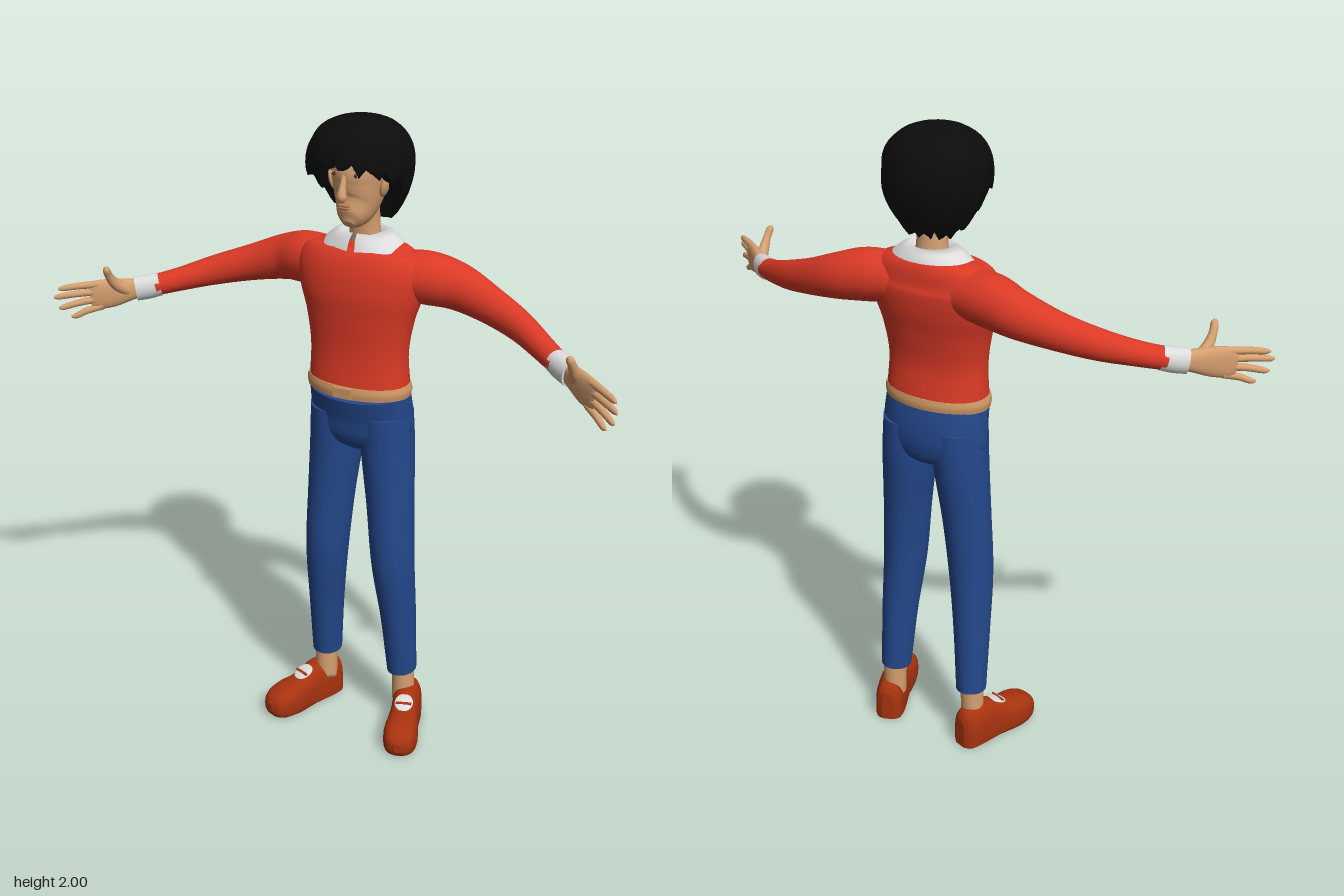
import * as THREE from 'three';

const mat = (name, color, side = THREE.FrontSide) => {
  const m = new THREE.MeshStandardMaterial({ color, side });
  m.name = name;
  return m;
};
const M = {
  skin: mat('skin', 0xd6a070),
  hair: mat('black hair', 0x0c0c0c),
  red: mat('red sweater', 0xdb3a26),
  blue: mat('blue trousers', 0x24488c),
  shoe: mat('rust shoes', 0xa8330f),
  white: mat('white cloth', 0xdcdcdc, THREE.DoubleSide),
  belt: mat('tan belt', 0xd09864),
  brown: mat('brown features', 0x5a3a26),
  lip: mat('lips', 0xb57a55),
};
const V = (x, y, z) => new THREE.Vector3(x, y, z);

// Surface through rows of points; outward side is (along row) x (next row)
function skinRows(rows, closed = true) {
  const n = rows[0].length, pos = [], idx = [];
  rows.forEach(r => r.forEach(p => pos.push(p.x, p.y, p.z)));
  for (let i = 0; i < rows.length - 1; i++) {
    for (let j = 0; j < (closed ? n : n - 1); j++) {
      const a = i * n + j, b = i * n + (j + 1) % n;
      idx.push(a, b, a + n, b, b + n, a + n);
    }
  }
  const g = new THREE.BufferGeometry();
  g.setAttribute('position', new THREE.Float32BufferAttribute(pos, 3));
  g.setIndex(idx);
  g.computeVertexNormals();
  return g;
}

// Smooth capped loft through stations [x, y, z, half size along ref, half size across]
function loft(stations, { ref = V(1, 0, 0), seg = 28, steps = 6, power = 1, floor = -1 } = {}) {
  const path = new THREE.CatmullRomCurve3(stations.map(s => V(s[0], s[1], s[2])), false, 'catmullrom');
  const size = new THREE.CatmullRomCurve3(stations.map(s => V(s[3], s[4], 0)), false, 'catmullrom');
  const count = (stations.length - 1) * steps, rows = [];
  const bulge = c => Math.sign(c) * Math.abs(c) ** power;
  for (let i = 0; i <= count; i++) {
    const t = i / count, c = path.getPoint(t), s = size.getPoint(t), tan = path.getTangent(t);
    const u = ref.clone().addScaledVector(tan, -ref.dot(tan)).normalize();
    const w = tan.clone().cross(u);
    rows.push(Array.from({ length: seg }, (_, j) => {
      const a = j / seg * Math.PI * 2;
      const p = c.clone().addScaledVector(u, s.x * bulge(Math.cos(a))).addScaledVector(w, s.y * bulge(Math.sin(a)));
      p.y = Math.max(p.y, floor);
      return p;
    }));
  }
  const cap = row => {
    const mid = row.reduce((m, p) => m.add(p), V(0, 0, 0)).divideScalar(seg);
    return row.map(() => mid);
  };
  const first = rows[0], last = rows[count];
  return skinRows([cap(first), first, ...rows, last, cap(last)]);
}

const UP = V(0, 1, 0);

// Ragged bowl of hair, its lower edge varying around the head
function hairGeometry() {
  const edge = [[0, 1.885], [45, 1.86], [72, 1.83], [90, 1.78], [106, 1.725], [130, 1.70], [181, 1.71]];
  const edgeAt = deg => {
    const k = edge.findIndex((e, i) => deg < edge[i + 1][0]);
    return THREE.MathUtils.mapLinear(deg, edge[k][0], edge[k + 1][0], edge[k][1], edge[k + 1][1]);
  };
  const point = (v, a, inner, lift) => {
    const deg = Math.abs(a) * 180 / Math.PI;
    const tip = edgeAt(deg) + 0.012 * Math.sin(a * 19 + 1) + 0.006 * Math.sin(a * 31);
    const y = 1.995 - (1.995 - tip) * v ** 1.8;
    const d = y - 1.86;
    let r = d > 0 ? (1 - Math.min(1, d / 0.135) ** 2.4) ** (1 / 2.4) : 1 - 0.4 * (d / 0.16) ** 2;
    r *= 0.155 * (1 + 0.025 * v * Math.sin(a * 11 + y * 25)) * inner;
    return V(-r * Math.sin(a), y + lift, -0.073 + r * Math.cos(a));
  };
  const ring = (v, inner = 1, lift = 0) =>
    Array.from({ length: 96 }, (_, j) => point(v, (j / 96 * 2 - 1) * Math.PI, inner, lift));
  const rows = Array.from({ length: 21 }, (_, i) => ring(i / 20));
  rows.push(ring(1, 0.72, 0.005), ring(1, 0.65, 0.06));
  return skinRows(rows);
}

// Folded collar, open at the front with two drooping points
function collarGeometry() {
  const row = (rx, rz, y, droop) => Array.from({ length: 49 }, (_, j) => {
    const a = -(0.1 + j / 48 * (Math.PI * 2 - 0.2));
    const front = Math.max(0, Math.cos(a));
    const point = Math.exp(-(((Math.abs(Math.abs(a + Math.PI) - Math.PI) - 0.75) / 0.35) ** 2));
    const k = 1 + droop * point * 4;
    return V(rx * k * Math.sin(a), y - droop * (front * 0.55 + point * 0.6), -0.098 + rz * k * Math.cos(a));
  });
  return skinRows([row(0.05, 0.05, 1.635, 0), row(0.065, 0.06, 1.662, 0.005),
    row(0.092, 0.077, 1.652, 0.015), row(0.122, 0.088, 1.628, 0.03)], false);
}

export function createModel() {
  const root = new THREE.Group();
  root.name = 'standingFigure';
  const add = (name, geo, material, parent = root) => {
    const m = new THREE.Mesh(geo, material);
    m.name = name;
    parent.add(m);
    return m;
  };
  const ball = (name, material, x, y, z, sx, sy, sz, parent) => {
    const m = add(name, new THREE.SphereGeometry(1, 20, 14), material, parent);
    m.position.set(x, y, z);
    m.scale.set(sx, sy, sz);
    return m;
  };

  // Sweater body, belt and hips
  add('sweaterBody', loft([
    [0, 1.195, -0.07, 0.161, 0.102], [0, 1.3, -0.068, 0.157, 0.09], [0, 1.4, -0.072, 0.172, 0.097],
    [0, 1.48, -0.078, 0.196, 0.106], [0, 1.555, -0.088, 0.205, 0.102], [0, 1.6, -0.1, 0.175, 0.08],
    [0, 1.626, -0.1, 0.1, 0.055]], { seg: 40, power: 0.92 }), M.red);
  add('belt', loft([[0, 1.168, -0.069, 0.167, 0.107], [0, 1.187, -0.069, 0.17, 0.109],
    [0, 1.205, -0.069, 0.166, 0.106]], { seg: 40 }), M.belt);
  const buckle = add('beltBuckle', new THREE.BoxGeometry(0.06, 0.032, 0.009), M.belt);
  buckle.position.set(0, 1.187, 0.04);
  add('hips', loft([
    [0, 0.975, -0.085, 0.05, 0.05], [0, 1.0, -0.086, 0.12, 0.082], [0, 1.04, -0.087, 0.166, 0.097],
    [0, 1.1, -0.085, 0.168, 0.102], [0, 1.175, -0.07, 0.164, 0.104]], { seg: 40 }), M.blue);

  // Neck and head
  add('collar', collarGeometry(), M.white);
  add('neck', loft([[0, 1.6, -0.105, 0.052, 0.045], [0, 1.68, -0.098, 0.046, 0.042],
    [0, 1.78, -0.085, 0.05, 0.05]]), M.skin);
  const head = new THREE.Group();
  head.name = 'head';
  root.add(head);
  add('face', loft([
    [0, 1.696, 0.002, 0.018, 0.016], [0, 1.712, -0.015, 0.042, 0.047], [0, 1.75, -0.048, 0.062, 0.079],
    [0, 1.8, -0.068, 0.074, 0.098], [0, 1.86, -0.075, 0.081, 0.105], [0, 1.92, -0.075, 0.07, 0.085],
    [0, 1.96, -0.075, 0.03, 0.03]]), M.skin, head);
  add('nose', loft([[0, 1.848, 0.022, 0.007, 0.008], [0, 1.81, 0.035, 0.01, 0.012],
    [0, 1.785, 0.04, 0.015, 0.016], [0, 1.776, 0.032, 0.008, 0.008]], { seg: 14 }), M.skin, head);
  ball('upperLip', M.lip, 0, 1.758, 0.029, 0.023, 0.004, 0.006, head);
  ball('lowerLip', M.lip, 0, 1.75, 0.028, 0.019, 0.005, 0.006, head);
  add('hair', hairGeometry(), M.hair, head);

  for (const s of [1, -1]) {
    const side = s > 0 ? 'left' : 'right';
    const part = name => {
      const g = new THREE.Group();
      g.name = side + name;
      root.add(g);
      return g;
    };
    const flip = list => list.map(([x, ...rest]) => [x * s, ...rest]);

    // Eye, brow and ear
    ball(side + 'Eye', M.white, s * 0.035, 1.846, 0.018, 0.014, 0.006, 0.006, head);
    ball(side + 'Iris', M.brown, s * 0.035, 1.846, 0.022, 0.006, 0.006, 0.004, head);
    ball(side + 'Brow', M.brown, s * 0.037, 1.863, 0.019, 0.02, 0.003, 0.005, head).rotation.z = -s * 0.1;
    ball(side + 'Ear', M.skin, s * 0.084, 1.805, -0.062, 0.012, 0.034, 0.02, head).rotation.z = -s * 0.25;

    // Sleeve, cuff and hand
    const arm = part('Arm');
    add('sleeve', loft(flip([
      [0.1, 1.535, -0.1, 0.07, 0.075], [0.2, 1.533, -0.118, 0.079, 0.076], [0.29, 1.516, -0.133, 0.07, 0.064],
      [0.4, 1.485, -0.115, 0.056, 0.05], [0.51, 1.454, -0.076, 0.046, 0.041], [0.6, 1.427, -0.022, 0.037, 0.036],
      [0.67, 1.408, 0.026, 0.033, 0.033]]), { ref: UP }), M.red, arm);
    add('cuff', loft(flip([[0.658, 1.411, 0.018, 0.036, 0.033], [0.69, 1.403, 0.04, 0.038, 0.031],
      [0.72, 1.398, 0.061, 0.038, 0.028]]), { ref: UP, steps: 3 }), M.white, arm);
    add('palm', loft(flip([
      [0.7, 1.402, 0.045, 0.026, 0.02], [0.735, 1.397, 0.075, 0.035, 0.02], [0.775, 1.39, 0.108, 0.045, 0.018],
      [0.815, 1.385, 0.138, 0.046, 0.014], [0.83, 1.383, 0.15, 0.036, 0.009]]), { ref: UP, power: 0.85 }), M.skin, arm);
    const tips = [[0.905, 1.41, 0.21], [0.914, 1.385, 0.222], [0.905, 1.35, 0.214], [0.876, 1.32, 0.192]];
    tips.forEach(([x, y, z], i) => {
      const ky = 1.42 - i * 0.0235, kx = i === 3 ? 0.8 : 0.81, kz = i === 3 ? 0.128 : 0.135;
      add('finger' + (i + 1), loft(flip([
        [kx, ky, kz, 0.012, 0.012], [(kx + x) / 2, (ky + y) / 2 + 0.002, (kz + z) / 2, 0.0105, 0.0105],
        [x - 0.012, y + 0.002, z - 0.011, 0.009, 0.008], [x, y, z, 0.003, 0.003]]),
        { ref: UP, seg: 12, steps: 3 }), M.skin, arm);
    });
    add('thumb', loft(flip([
      [0.735, 1.395, 0.077, 0.018, 0.02], [0.752, 1.425, 0.118, 0.016, 0.018], [0.756, 1.458, 0.145, 0.012, 0.013],
      [0.753, 1.483, 0.16, 0.011, 0.011], [0.751, 1.492, 0.166, 0.003, 0.003]]),
      { seg: 14, steps: 4 }), M.skin, arm);

    // Trouser leg, ankle and shoe
    const leg = part('Leg');
    add('trouserLeg', loft(flip([
      [0.139, 0.19, -0.107, 0.047, 0.051], [0.131, 0.4, -0.091, 0.056, 0.062], [0.118, 0.6, -0.074, 0.067, 0.074],
      [0.104, 0.8, -0.079, 0.074, 0.079], [0.089, 0.98, -0.087, 0.082, 0.09], [0.083, 1.1, -0.085, 0.082, 0.093]])),
      M.blue, leg);
    add('ankle', loft(flip([[0.145, 0.08, -0.108, 0.036, 0.038], [0.143, 0.2, -0.108, 0.036, 0.04]])), M.skin, leg);
    // Shoe stations: distance along the foot, top height, half width
    const shoe = [[-0.008, 0.1, 0.02], [0.008, 0.125, 0.041], [0.05, 0.133, 0.047], [0.1, 0.133, 0.046],
      [0.13, 0.12, 0.046], [0.165, 0.103, 0.05], [0.21, 0.098, 0.055], [0.25, 0.088, 0.052],
      [0.28, 0.07, 0.038], [0.293, 0.05, 0.012]];
    const along = d => [s * (0.139 + 0.34 * d), -0.165 + 0.94 * d];
    add('shoe', loft(shoe.map(([d, top, half]) => {
      const [x, z] = along(d);
      return [x, 0.035, z, top - 0.035, half];
    }), { ref: UP, power: 0.75, floor: 0, steps: 4 }), M.shoe, leg);
    const instep = new THREE.Group();
    instep.name = 'instep';
    const [ix, iz] = along(0.145);
    instep.position.set(ix, 0.112, iz);
    instep.rotation.set(0.4, s * 0.35, 0, 'YXZ');
    leg.add(instep);
    ball('shoeTongue', M.white, 0, 0, 0, 0.03, 0.006, 0.034, instep);
    add('shoeStrap', new THREE.BoxGeometry(0.05, 0.007, 0.008), M.shoe, instep).position.set(0, 0.004, 0.006);
  }
  return root;
}
